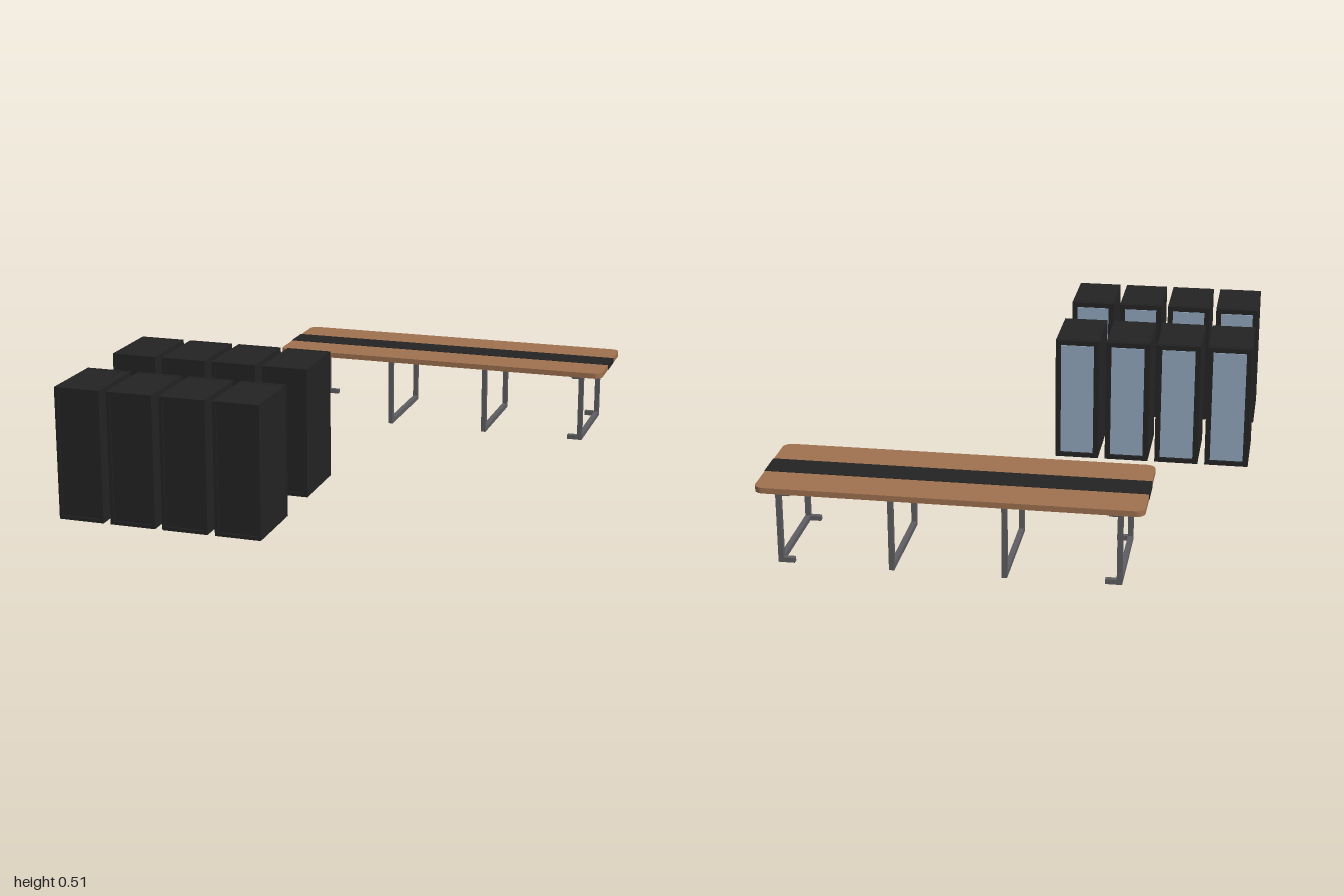
import * as THREE from 'three';

const mat = (name, color, side = THREE.FrontSide) => {
  const m = new THREE.MeshStandardMaterial({ color, side });
  m.name = name;
  return m;
};

export function createModel() {
  const black = mat('matte black', 0x242424);
  const wood = mat('brown wood', 0xa07250);
  const steel = mat('grey steel', 0x5f5f63);
  const glass = mat('pale blue glass', 0x93a9bf);

  const model = new THREE.Group();
  model.name = 'cabinetsAndTable';

  // Box given by its min and max corners
  const box = (parent, name, material, [x0, y0, z0], [x1, y1, z1]) => {
    const mesh = new THREE.Mesh(new THREE.BoxGeometry(x1 - x0, y1 - y0, z1 - z0), material);
    mesh.position.set((x0 + x1) / 2, (y0 + y1) / 2, (z0 + z1) / 2);
    mesh.name = name;
    parent.add(mesh);
    return mesh;
  };

  // Four rails around a rectangular opening
  const frame = (parent, name, w, h, rail, z0, z1) => {
    for (const s of [-1, 1]) {
      const inner = s * (w / 2 - rail), outer = s * w / 2;
      box(parent, name + 'Stile', black, [Math.min(inner, outer), 0, z0], [Math.max(inner, outer), h, z1]);
    }
    box(parent, name + 'BottomRail', black, [-w / 2 + rail, 0, z0], [w / 2 - rail, rail, z1]);
    box(parent, name + 'TopRail', black, [-w / 2 + rail, h - rail, z0], [w / 2 - rail, h, z1]);
  };

  // Cabinet: back of the door at local z = 0, front at z = 0.29
  const W = 0.18, H = 0.515, D = 0.29;
  const cabinet = () => {
    const g = new THREE.Group();
    g.name = 'cabinet';
    box(g, 'cabinetBody', black, [-W / 2, 0, 0.017], [W / 2, H, D - 0.006]);
    frame(g, 'frontFrame', W, H, 0.014, D - 0.006, D);
    // Glazed door behind a narrow shadow gap
    box(g, 'doorCore', black, [-W / 2 + 0.008, 0.008, 0.005], [W / 2 - 0.008, H - 0.008, 0.017]);
    frame(g, 'doorFrame', W, H, 0.018, 0, 0.012);
    box(g, 'doorGlass', glass, [-W / 2 + 0.022, 0.022, 0.001], [W / 2 - 0.022, H - 0.022, 0.006]);
    box(g, 'doorHandle', black, [W / 2 - 0.016, 0.28, -0.005], [W / 2 - 0.008, 0.32, 0]);
    return g;
  };
  for (const z of [0.195, 0.71]) {
    for (let i = 0; i < 4; i++) {
      const c = cabinet();
      c.position.set(-0.788 + i * 0.209, 0, z);
      model.add(c);
    }
  }

  // Table, centred on its own origin
  const table = new THREE.Group();
  table.name = 'table';
  table.position.set(0.157, 0, -0.783);
  model.add(table);

  const L = 1.436, TW = 0.434, r = 0.035;
  const a = L / 2, b = TW / 2;
  const outline = new THREE.Shape();
  outline.moveTo(-a + r, -b);
  outline.lineTo(a - r, -b);
  outline.absarc(a - r, -b + r, r, -Math.PI / 2, 0);
  outline.lineTo(a, b - r);
  outline.absarc(a - r, b - r, r, 0, Math.PI / 2);
  outline.lineTo(-a + r, b);
  outline.absarc(-a + r, b - r, r, Math.PI / 2, Math.PI);
  outline.lineTo(-a, -b + r);
  outline.absarc(-a + r, -b + r, r, Math.PI, Math.PI * 1.5);
  const topGeo = new THREE.ExtrudeGeometry(outline, { depth: 0.022, bevelEnabled: false, curveSegments: 8 });
  topGeo.rotateX(-Math.PI / 2);
  const top = new THREE.Mesh(topGeo, wood);
  top.name = 'tableTop';
  top.position.y = 0.28;
  table.add(top);

  // Centre strip wraps over the top and both ends
  box(table, 'centreStrip', black, [-a - 0.0015, 0.3, -0.06], [a + 0.0015, 0.3035, 0.06]);
  for (const s of [-1, 1]) {
    const x = s * a;
    box(table, 'stripEnd', black, [x - 0.0015, 0.2805, -0.06], [x + 0.0015, 0.3, 0.06]);
  }

  // Leg frames: two posts and a floor bar; the end frames have inward feet and brackets
  const t = 0.01;
  [-0.63, -0.21, 0.21, 0.63].forEach((x, i) => {
    const g = new THREE.Group();
    g.name = 'legFrame';
    g.position.x = x;
    table.add(g);
    const end = i === 0 || i === 3;
    const zPost = end ? 0.19 : 0.197;
    for (const s of [-1, 1]) {
      const z = s * zPost;
      box(g, 'legPost', steel, [-t, 0, z - t], [t, 0.28, z + t]);
      if (!end) continue;
      const dir = i === 0 ? 1 : -1;
      const xs = [dir * t, dir * 0.052].sort((p, q) => p - q);
      box(g, 'foot', steel, [xs[0], 0, z - t], [xs[1], 0.019, z + t]);
      const ys = [dir * t, dir * 0.042].sort((p, q) => p - q);
      box(g, 'topBracket', steel, [ys[0], 0.268, z - t], [ys[1], 0.28, z + t]);
    }
    box(g, 'floorBar', steel, [-t, 0, -zPost + t], [t, 0.02, zPost - t]);
  });

  return model;
}
